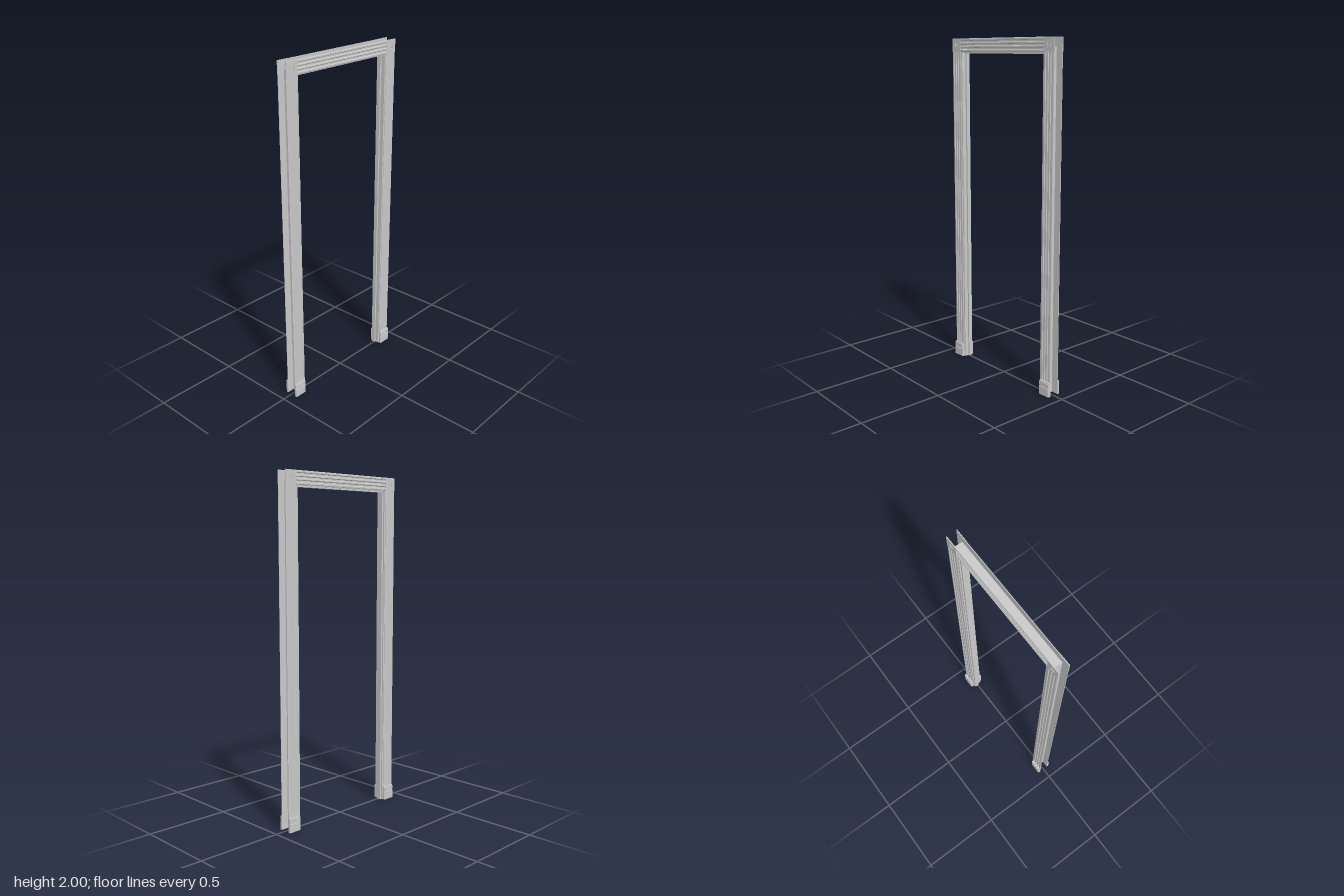
import * as THREE from 'three';

const mat = new THREE.MeshStandardMaterial({ color: 0xcccccc, flatShading: true });
const IN = 0.028, OUT = 0.033;        // back and front of the casing, along x
const WIDTH = 0.077, MID = 0.395;     // casing width and its centre line, along z
const PLINTH = 0.083, TOP = 2, HEAD = TOP - WIDTH;

function add(parent, name, geo) {
  const mesh = new THREE.Mesh(geo, mat);
  mesh.name = name;
  parent.add(mesh);
  return mesh;
}

function box(parent, name, x0, x1, y0, y1, z0, z1) {
  const geo = new THREE.BoxGeometry(x1 - x0, y1 - y0, z1 - z0);
  geo.translate((x0 + x1) / 2, (y0 + y1) / 2, (z0 + z1) / 2);
  return add(parent, name, geo);
}

// Extrudes a flat shape and turns its axes onto the given directions
function extrude(shape, depth, xAxis, yAxis, zAxis) {
  const geo = new THREE.ExtrudeGeometry(shape, { depth, bevelEnabled: false });
  const v = (a) => new THREE.Vector3(...a);
  return geo.applyMatrix4(new THREE.Matrix4().makeBasis(v(xAxis), v(yAxis), v(zAxis)));
}

// Cross-section of the moulding: across its width, and out from the wall, with three flutes
function mouldingShape() {
  const h = WIDTH / 2, s = new THREE.Shape();
  s.moveTo(-h, IN);
  s.lineTo(h, IN);
  s.lineTo(h, OUT - 0.002);
  s.lineTo(h - 0.004, OUT);
  for (const c of [0.02, 0, -0.02]) {
    s.lineTo(c + 0.007, OUT);
    s.lineTo(c + 0.004, OUT - 0.0035);
    s.lineTo(c - 0.004, OUT - 0.0035);
    s.lineTo(c - 0.007, OUT);
  }
  s.lineTo(-h + 0.004, OUT);
  s.lineTo(-h, OUT - 0.002);
  return s;
}

// Plinth footprint with chamfered outer corners
function plinthShape(out) {
  const h = WIDTH / 2 + 0.001, c = 0.004, s = new THREE.Shape();
  s.moveTo(-h, IN);
  s.lineTo(h, IN);
  s.lineTo(h, out - c);
  s.lineTo(h - c, out);
  s.lineTo(-h + c, out);
  s.lineTo(-h, out - c);
  return s;
}

// Square outline, drawn around the origin
function square(size, Type = THREE.Shape) {
  const h = size / 2, s = new Type();
  s.moveTo(-h, -h);
  s.lineTo(h, -h);
  s.lineTo(h, h);
  s.lineTo(-h, h);
  s.closePath();
  return s;
}

function cornerBlock(z) {
  const g = new THREE.Group();
  g.name = 'cornerBlock';
  const frame = square(WIDTH);
  frame.holes.push(square(0.024, THREE.Path));
  const face = extrude(frame, OUT - IN, [0, 0, -1], [0, 1, 0], [1, 0, 0]);
  face.translate(IN, 0, 0);
  add(g, 'cornerFace', face);
  box(g, 'cornerRecess', IN, IN + 0.001, -0.012, 0.012, -0.012, 0.012);
  box(g, 'cornerBoss', IN, OUT - 0.001, -0.006, 0.006, -0.006, 0.006);
  g.position.set(0, TOP - WIDTH / 2, z);
  return g;
}

// One face of the doorway: two fluted legs on plinths, two corner blocks, one header
function casing() {
  const g = new THREE.Group();
  const legLength = HEAD - PLINTH;
  for (const s of [1, -1]) {
    add(g, 'legCasing', extrude(mouldingShape(), legLength, [0, 0, 1], [1, 0, 0], [0, 1, 0]))
      .position.set(0, PLINTH, s * MID);
    // base, groove, upper band and stepped cap
    for (const [y0, y1, out] of [[0, 0.048, 0.045], [0.048, 0.055, 0.04], [0.055, 0.077, 0.045], [0.077, PLINTH, 0.041]]) {
      add(g, 'plinth', extrude(plinthShape(out), y1 - y0, [0, 0, 1], [1, 0, 0], [0, 1, 0]))
        .position.set(0, y0, s * MID);
    }
    g.add(cornerBlock(s * MID));
  }
  const span = 2 * MID - WIDTH;
  add(g, 'headerCasing', extrude(mouldingShape(), span, [0, 1, 0], [1, 0, 0], [0, 0, -1]))
    .position.set(0, TOP - WIDTH / 2, span / 2);
  return g;
}

export function createModel() {
  const model = new THREE.Group();
  model.name = 'doorFrame';

  // Lining of the opening, with the thin stop the door closes against
  const jamb = new THREE.Group();
  jamb.name = 'jamb';
  model.add(jamb);
  const sides = [[0.348, 0.39], [-0.39, -0.348]];
  const stops = [[0.338, 0.348], [-0.348, -0.338]];
  for (const [z0, z1] of sides) box(jamb, 'sideJamb', -IN, IN, 0, 1.95, z0, z1);
  for (const [z0, z1] of stops) box(jamb, 'sideStop', -0.02, 0.004, 0, 1.92, z0, z1);
  box(jamb, 'headJamb', -IN, IN, 1.92, 1.95, -0.348, 0.348);
  box(jamb, 'headStop', -0.02, 0.004, 1.912, 1.92, -0.338, 0.338);

  // Latch plate on one side jamb
  box(jamb, 'strikePlate', 0.009, 0.024, 0.8, 0.84, 0.3465, 0.348);
  box(jamb, 'strikeLip', 0.013, 0.02, 0.81, 0.83, 0.3458, 0.3465);

  // Casing on both faces
  const left = casing();
  left.name = 'leftCasing';
  const right = casing();
  right.name = 'rightCasing';
  right.rotation.y = Math.PI;
  model.add(left, right);
  return model;
}
